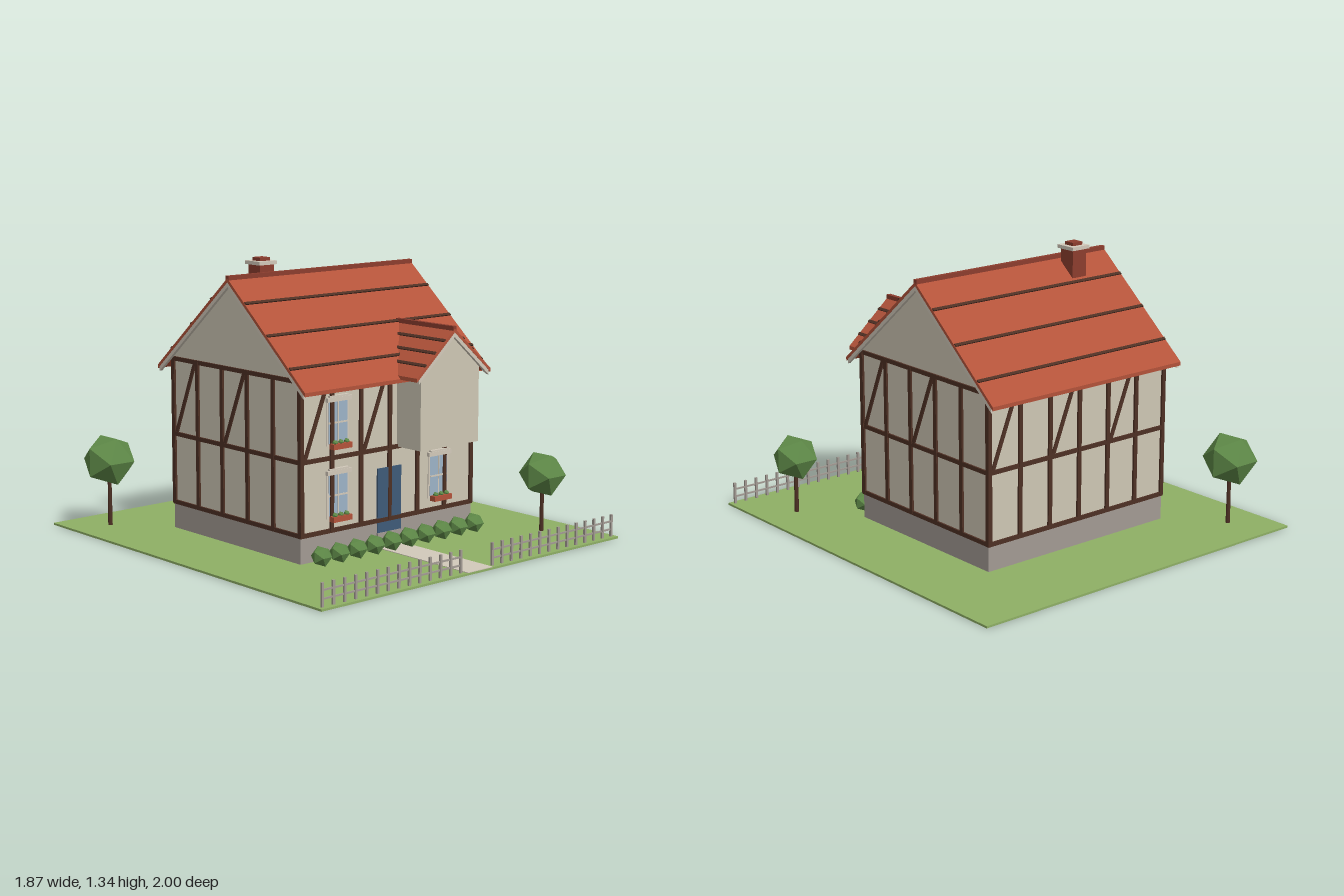
import * as THREE from 'three';

const paint = (name, color) => {
  const m = new THREE.MeshStandardMaterial({ color });
  m.name = name;
  return m;
};

export function createModel() {
  const lawn = paint('lawn green', 0x8fb065), plaster = paint('plaster', 0xcfc7b5);
  const stone = paint('grey stone', 0xa39b94), timber = paint('dark timber', 0x4e3024);
  const tile = paint('roof tile', 0xb3533a), brick = paint('brick', 0x8c3d2e);
  const trim = paint('pale trim', 0xd3cabb), glass = paint('window glass', 0x9db4c8);
  const doorBlue = paint('door blue', 0x3f5b78), leaf = paint('leaf green', 0x5f8a48);

  const house = new THREE.Group();
  house.name = 'timberHouse';

  const add = (parent, name, geo, mat, x = 0, y = 0, z = 0) => {
    const m = new THREE.Mesh(geo, mat);
    m.name = name;
    m.position.set(x, y, z);
    parent.add(m);
    return m;
  };
  const box = (parent, name, mat, w, h, d, x, y, z) =>
    add(parent, name, new THREE.BoxGeometry(w, h, d), mat, x, y, z);
  const group = (parent, name, x = 0, y = 0, z = 0, ry = 0) => {
    const g = new THREE.Group();
    g.name = name;
    g.position.set(x, y, z);
    g.rotation.y = ry;
    parent.add(g);
    return g;
  };
  // Prism of an outline in x and y, centred along z
  const prism = (points, depth) => {
    const shape = new THREE.Shape(points.map(([x, y]) => new THREE.Vector2(x, y)));
    return new THREE.ExtrudeGeometry(shape, { depth, bevelEnabled: false }).translate(0, 0, -depth / 2);
  };
  const gabled = (half, base, apex, slope, depth) => prism(
    [[-half, base], [half, base], [half, apex - slope * half], [0, apex], [-half, apex - slope * half]], depth);
  const chevron = (half, apex, slope, t, depth) => {
    const e = apex - slope * half;
    return prism([[-half, e], [-half, e - t], [0, apex - t], [half, e - t], [half, e], [0, apex]], depth);
  };

  // Tiled gable roof whose ridge runs along local z
  const roof = (parent, half, apex, slope, length, courses, bargeEnds) => {
    add(parent, 'roofTiles', chevron(half, apex, slope, 0.018, length), tile);
    for (const end of bargeEnds)
      add(parent, 'bargeBoard', chevron(half - 0.012, apex - 0.014, slope, 0.026, 0.016), trim, 0, 0, end * (length / 2 - 0.009));
    for (const side of [-1, 1]) for (const d of courses) {
      const strip = box(parent, 'tileCourse', timber, 0.014, 0.012, length - 0.004, side * d, apex - slope * d, 0);
      strip.rotation.z = -side * Math.atan(slope);
    }
    box(parent, 'ridgeCap', brick, 0.022, 0.022, length, 0, apex, 0);
  };

  // Garden
  box(house, 'lawn', lawn, 1.87, 0.01, 2, 0, 0.005, 0);
  box(house, 'path', trim, 0.156, 0.004, 0.6, 0, 0.011, 0.699);

  // Main body, gables running along x
  const CZ = -0.0675, W = 0.54, D = 0.4675;
  box(house, 'foundation', stone, 2 * W, 0.13, 2 * D + 0.005, 0, 0.068, CZ);
  const main = group(house, 'mainBody', 0, 0, CZ, Math.PI / 2);
  add(main, 'walls', gabled(D, 0.13, 1.248, 0.848, 2 * W - 0.01), plaster);
  roof(main, 0.5425, 1.265, 0.848, 1.15, [0.125, 0.28, 0.435], [-1, 1]);

  // Half-timbering for one wall; local z points outward
  const frame = (name, length, bays, x, z, ry) => {
    const g = group(house, name, x, 0, z, ry);
    for (const y of [0.139, 0.475, 0.84]) box(g, 'rail', timber, length, 0.02, 0.018, 0, y, 0);
    const w = (length - 0.02) / bays;
    for (let i = 0; i <= bays; i++) {
      const px = (i - bays / 2) * w;
      box(g, 'post', timber, 0.021, 0.71, 0.02, px, 0.49, 0);
      if (i % 2 === 0 && i < bays - 1) {
        const dx = w - 0.035, dy = 0.36;
        const brace = box(g, 'brace', timber, 0.018, Math.hypot(dx, dy), 0.016, px + w / 2, 0.66, 0);
        brace.rotation.z = -Math.atan2(dx, dy);
      }
    }
  };
  frame('frontTimbers', 1.09, 6, 0, CZ + D, 0);
  frame('rightTimbers', 0.95, 5, W - 0.005, CZ, Math.PI / 2);
  frame('backTimbers', 1.09, 6, 0, CZ - D, Math.PI);
  frame('leftTimbers', 0.95, 5, -W + 0.005, CZ, -Math.PI / 2);

  // Overhanging front bay with its own gable roof
  const bay = group(house, 'frontBay', 0.238);
  add(bay, 'bayWalls', gabled(0.188, 0.473, 1.015, 0.875, 0.256), plaster, 0, 0, 0.43);
  const bayRoof = group(bay, 'bayRoof', 0, 0, 0.3875);
  roof(bayRoof, 0.238, 1.028, 0.875, 0.395, [0.06, 0.12, 0.18], [1]);

  // Chimney
  const chimney = group(house, 'chimney', -0.322, 0, -0.133);
  box(chimney, 'stack', brick, 0.084, 0.2, 0.084, 0, 1.21, 0);
  box(chimney, 'cap', trim, 0.106, 0.017, 0.106, 0, 1.316, 0);
  box(chimney, 'pot', brick, 0.058, 0.016, 0.058, 0, 1.332, 0);

  // Windows with flower boxes
  const ball = (r) => new THREE.IcosahedronGeometry(r, 0).rotateY(Math.PI / 2);
  for (const [x, y] of [[-0.318, 0.635], [-0.318, 0.3], [0.318, 0.3]]) {
    const win = group(house, 'window', x, y, 0.4);
    box(win, 'windowFrame', trim, 0.132, 0.21, 0.008, 0, 0, 0);
    box(win, 'pane', glass, 0.112, 0.19, 0.004, 0, 0, 0.003);
    box(win, 'mullion', trim, 0.006, 0.19, 0.006, 0, 0, 0.004);
    box(win, 'crossbar', trim, 0.112, 0.008, 0.006, 0, 0, 0.004);
    box(win, 'lintel', trim, 0.145, 0.02, 0.03, 0, 0.108, 0.003);
    box(win, 'lintelCap', trim, 0.115, 0.01, 0.026, 0, 0.121, 0.003);
    box(win, 'flowerBox', tile, 0.112, 0.025, 0.032, 0, -0.105, 0.024);
    for (const px of [-0.035, 0, 0.035]) add(win, 'flowers', ball(0.014), leaf, px, -0.088, 0.024);
  }

  // Front door
  box(house, 'door', doorBlue, 0.148, 0.305, 0.016, -0.002, 0.232, 0.4);
  box(house, 'doorStep', stone, 0.15, 0.07, 0.02, -0.002, 0.045, 0.403);

  // Hedge along the front wall
  for (let i = 0; i < 10; i++) add(house, 'bush', ball(0.05), leaf, -0.483 + i * 0.1075, 0.055, 0.48);

  // Trees
  for (const [x, z, y, r] of [[-0.748, -0.785, 0.333, 0.132], [0.745, 0.68, 0.289, 0.114]]) {
    const tree = group(house, 'tree', x, 0, z);
    add(tree, 'trunk', new THREE.CylinderGeometry(0.009, 0.011, y - 0.06, 6), timber, 0, (y - 0.06) / 2 + 0.005, 0);
    add(tree, 'crown', ball(r), leaf, 0, y, 0);
  }

  // Picket fence on both sides of the path
  for (const side of [-1, 1]) {
    const fence = group(house, 'fence', side * 0.505, 0, 0.975);
    for (const y of [0.045, 0.083]) box(fence, 'fenceRail', stone, 0.815, 0.008, 0.006, 0, y, 0);
    for (let i = 0; i < 14; i++)
      box(fence, 'picket', stone, 0.012, 0.108, 0.01, (i - 6.5) * 0.0623, 0.062, 0);
  }

  return house;
}
